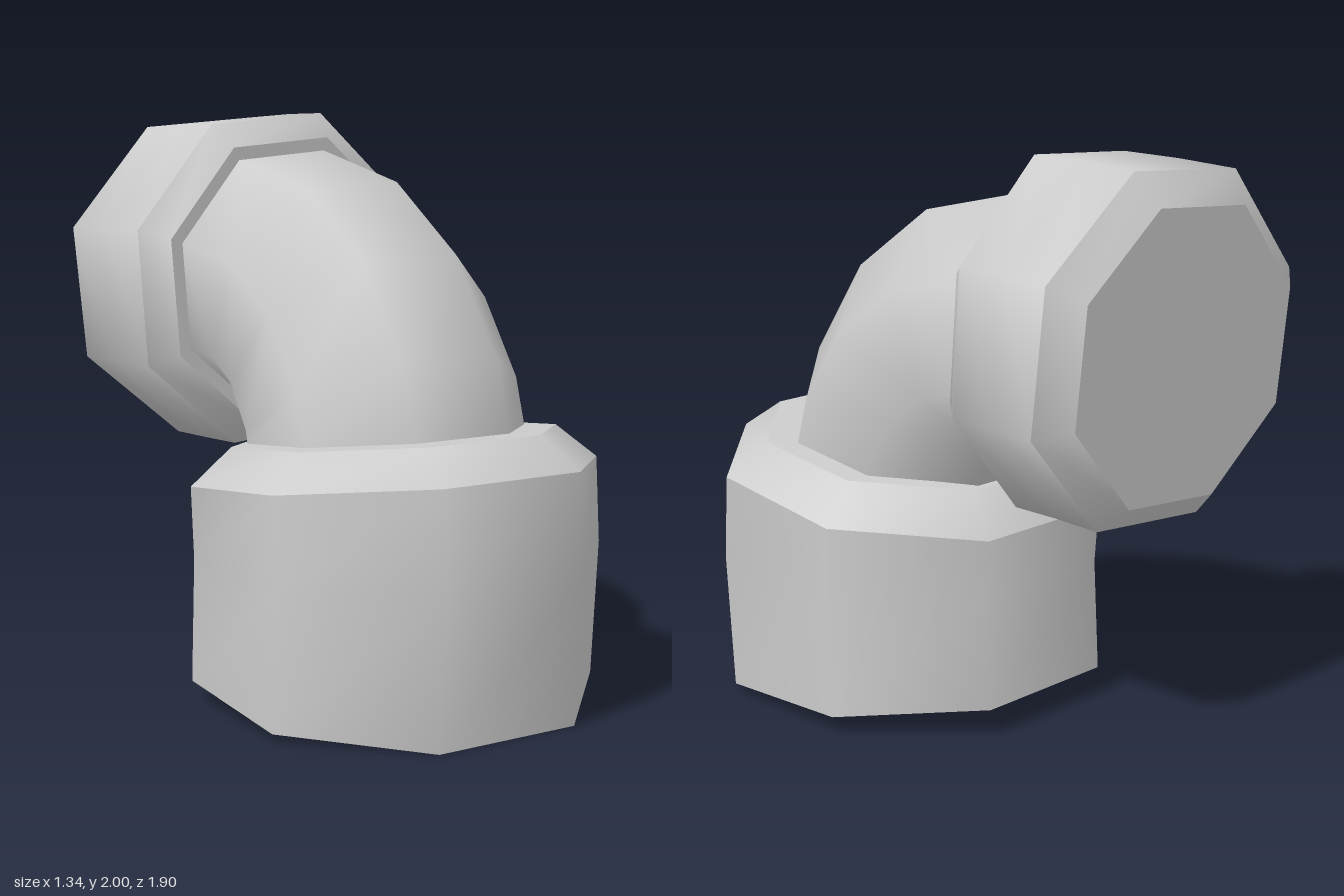
import * as THREE from 'three';

const SIDES = 8;
const RAD = Math.PI / 180;

// An octagonal cross-section: centre, corner radius, pitch of its outer direction, yaw and twist (degrees).
const ring = (x, y, z, r, pitch, yaw = 0, twist = 0) => ({ c: new THREE.Vector3(x, y, z), r, pitch, yaw, twist });
const withRadius = (s, r) => ({ ...s, r });

function corners({ c, r, pitch, yaw, twist }) {
  const outer = new THREE.Vector3(0, Math.sin(pitch * RAD), Math.cos(pitch * RAD));
  const side = new THREE.Vector3(Math.cos(yaw * RAD), 0, Math.sin(yaw * RAD));
  return Array.from({ length: SIDES }, (_, i) => {
    const a = (twist + (i + 0.5) * 360 / SIDES) * RAD;
    return c.clone().addScaledVector(outer, r * Math.cos(a)).addScaledVector(side, r * Math.sin(a));
  });
}

// Skin a row of cross-sections; smooth within a band, sharp where bands meet.
function loft(name, rings, material) {
  const geometry = new THREE.BufferGeometry().setFromPoints(rings.flatMap(corners));
  const index = [];
  for (let k = 0; k < rings.length - 1; k++) {
    for (let i = 0; i < SIDES; i++) {
      const j = (i + 1) % SIDES;
      const a = k * SIDES + i, b = k * SIDES + j;
      index.push(a, b, b + SIDES, a, b + SIDES, a + SIDES);
    }
  }
  geometry.setIndex(index);
  geometry.computeVertexNormals();
  const mesh = new THREE.Mesh(geometry, material);
  mesh.name = name;
  return mesh;
}

export function createModel() {
  const model = new THREE.Group();
  model.name = 'pipeElbow';
  const material = new THREE.MeshStandardMaterial({ color: 0xcccccc });
  const addGroup = (name, bands) => {
    const group = new THREE.Group();
    group.name = name;
    for (const [part, rings] of Object.entries(bands)) group.add(loft(part, rings, material));
    model.add(group);
  };

  // Bent pipe, from the lower collar up and back to the upper collar
  const pipe = [
    ring(0, 0.905, 0.212, 0.488, 6),
    ring(0, 1.01, 0.18, 0.488, 24, -0.5, -0.5),
    ring(-0.005, 1.22, 0.04, 0.488, 43, -1.5, -1.5),
    ring(-0.02, 1.35, -0.14, 0.488, 64, -3, -3),
    ring(-0.045, 1.4, -0.36, 0.49, 90, -4.9, -4.5),
  ];
  addGroup('pipe', { bend: pipe });

  // Lower collar: bottom cap, slightly bowed wall, chamfer, flat lip
  const base = ring(0.005, 0.05, 0.255, 0.712, -4.4);
  const shoulder = ring(0.005, 0.782, 0.265, 0.714, 6.3);
  const lip = ring(0.005, 0.905, 0.255, 0.57, 6);
  addGroup('lowerCollar', {
    lowerCap: [withRadius(base, 0), base],
    lowerWall: [base, ring(0.005, 0.51, 0.285, 0.714, 0.9), shoulder],
    lowerChamfer: [shoulder, lip],
    lowerLip: [lip, pipe[0]],
  });

  // Upper collar: flat lip, chamfer, wedge-shaped wall, rear chamfer, end cap
  const upperLip = ring(-0.045, 1.4, -0.358, 0.54, 90, -4.9, -4.5);
  const front = ring(-0.05, 1.402, -0.445, 0.63, 89.5, -4.9, -4.5);
  const back = ring(-0.074, 1.39, -0.845, 0.628, 92, 2, -4.5);
  const end = ring(-0.076, 1.38, -0.93, 0.523, 92, 2, -4.5);
  addGroup('upperCollar', {
    upperLip: [pipe[4], upperLip],
    upperFrontChamfer: [upperLip, front],
    upperWall: [front, ring(-0.067, 1.398, -0.64, 0.63, 90.7, -1.5, -4.5), back],
    upperBackChamfer: [back, end],
    upperCap: [end, withRadius(end, 0)],
  });

  return model;
}
